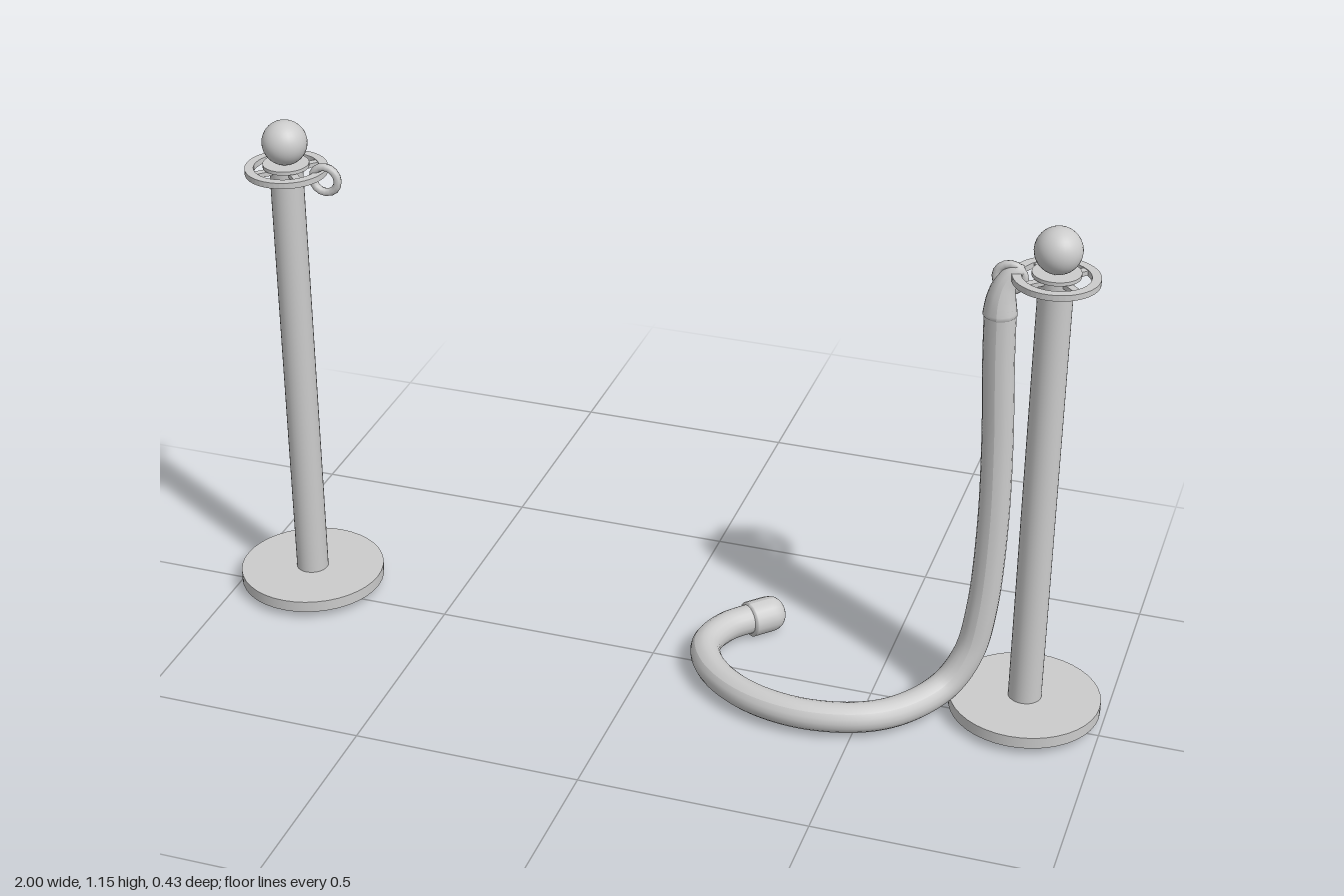
import * as THREE from 'three';

const grey = new THREE.MeshStandardMaterial({ color: 0xcccccc });

function add(parent, name, geometry, x = 0, y = 0, z = 0) {
  const mesh = new THREE.Mesh(geometry, grey);
  mesh.name = name;
  mesh.position.set(x, y, z);
  parent.add(mesh);
  return mesh;
}

// Flat ring lying in the xz plane, centred on its own height
function flatRing(outer, inner, height) {
  const shape = new THREE.Shape().absarc(0, 0, outer, 0, Math.PI * 2);
  shape.holes.push(new THREE.Path().absarc(0, 0, inner, 0, Math.PI * 2, true));
  return new THREE.ExtrudeGeometry(shape, { depth: height, bevelEnabled: false, curveSegments: 24 })
    .translate(0, 0, -height / 2).rotateX(-Math.PI / 2);
}

// Closed tube whose radius follows radiusAt(t) along a smooth path
function sweep(points, segments, sides, radiusAt) {
  const curve = new THREE.CatmullRomCurve3(points.map(p => new THREE.Vector3(...p)));
  const geometry = new THREE.TubeGeometry(curve, segments, 1, sides);
  const pos = geometry.attributes.position, v = new THREE.Vector3();
  for (let i = 0; i < pos.count; i++) {
    const t = Math.floor(i / (sides + 1)) / segments;
    const centre = curve.getPointAt(t);
    v.fromBufferAttribute(pos, i).sub(centre).multiplyScalar(radiusAt(t)).add(centre);
    pos.setXYZ(i, v.x, v.y, v.z);
  }
  geometry.computeVertexNormals();
  return geometry;
}

// Post with weighted foot, spoked collar, ball top and a hook ring on one side
function createPost(name, x, side) {
  const post = new THREE.Group();
  post.name = name;
  post.position.set(x, 0, -0.04);
  add(post, 'base', new THREE.CylinderGeometry(0.163, 0.163, 0.026, 40), 0, 0.033);
  add(post, 'pole', new THREE.CylinderGeometry(0.036, 0.036, 1.01, 28), 0, 0.545);
  add(post, 'collarRing', flatRing(0.089, 0.07, 0.013), 0, 1.043);
  for (let i = 0; i < 4; i++) {
    const spoke = add(post, 'collarSpoke', new THREE.BoxGeometry(0.078, 0.01, 0.016).translate(0.039, 0, 0), 0, 1.043);
    spoke.rotation.y = Math.PI / 4 + i * Math.PI / 2;
  }
  add(post, 'collarCap', new THREE.CylinderGeometry(0.05, 0.05, 0.008, 28), 0, 1.054);
  add(post, 'ball', new THREE.SphereGeometry(0.049, 28, 20), 0, 1.105);
  add(post, 'hookRing', new THREE.TorusGeometry(0.029, 0.009, 8, 16), side * 0.092, 1.033, 0.004);
  return post;
}

export function createModel() {
  const model = new THREE.Group();
  model.name = 'ropeBarrier';
  model.add(createPost('rightPost', -0.842, 1), createPost('leftPost', 0.829, -1));

  // Rope hanging beside the post, then curling over the ground
  add(model, 'rope', sweep([
    [0.722, 0.97, -0.032], [0.725, 0.85, -0.034], [0.733, 0.65, -0.04], [0.735, 0.45, -0.04],
    [0.725, 0.25, -0.034], [0.705, 0.14, -0.022], [0.665, 0.07, 0.01], [0.6, 0.045, 0.085],
    [0.52, 0.045, 0.15], [0.39, 0.045, 0.178], [0.26, 0.045, 0.15], [0.16, 0.045, 0.075],
    [0.12, 0.045, -0.01], [0.14, 0.045, -0.09], [0.19, 0.045, -0.15],
  ], 110, 18, () => 0.033));

  // Tapered end bending up to the hook ring
  add(model, 'upperRopeEnd', sweep([
    [0.722, 0.945, -0.032], [0.723, 0.99, -0.032], [0.731, 1.025, -0.034],
    [0.747, 1.047, -0.037], [0.768, 1.048, -0.038],
  ], 20, 16, t => t > 0.995 ? 0.001 : t < 0.01 ? 0.03 : 0.036 - 0.024 * Math.pow(t, 1.3)));

  // Rounded cap on the loose end
  add(model, 'looseRopeEnd', sweep([
    [0.178, 0.043, -0.137], [0.2, 0.043, -0.16], [0.222, 0.043, -0.182], [0.242, 0.043, -0.201],
  ], 24, 18, t => t < 0.01 ? 0.03 : 0.04 * Math.sqrt(Math.max(0.0004, 1 - Math.pow(Math.max(0, (t - 0.5) / 0.5), 3)))));
  return model;
}
